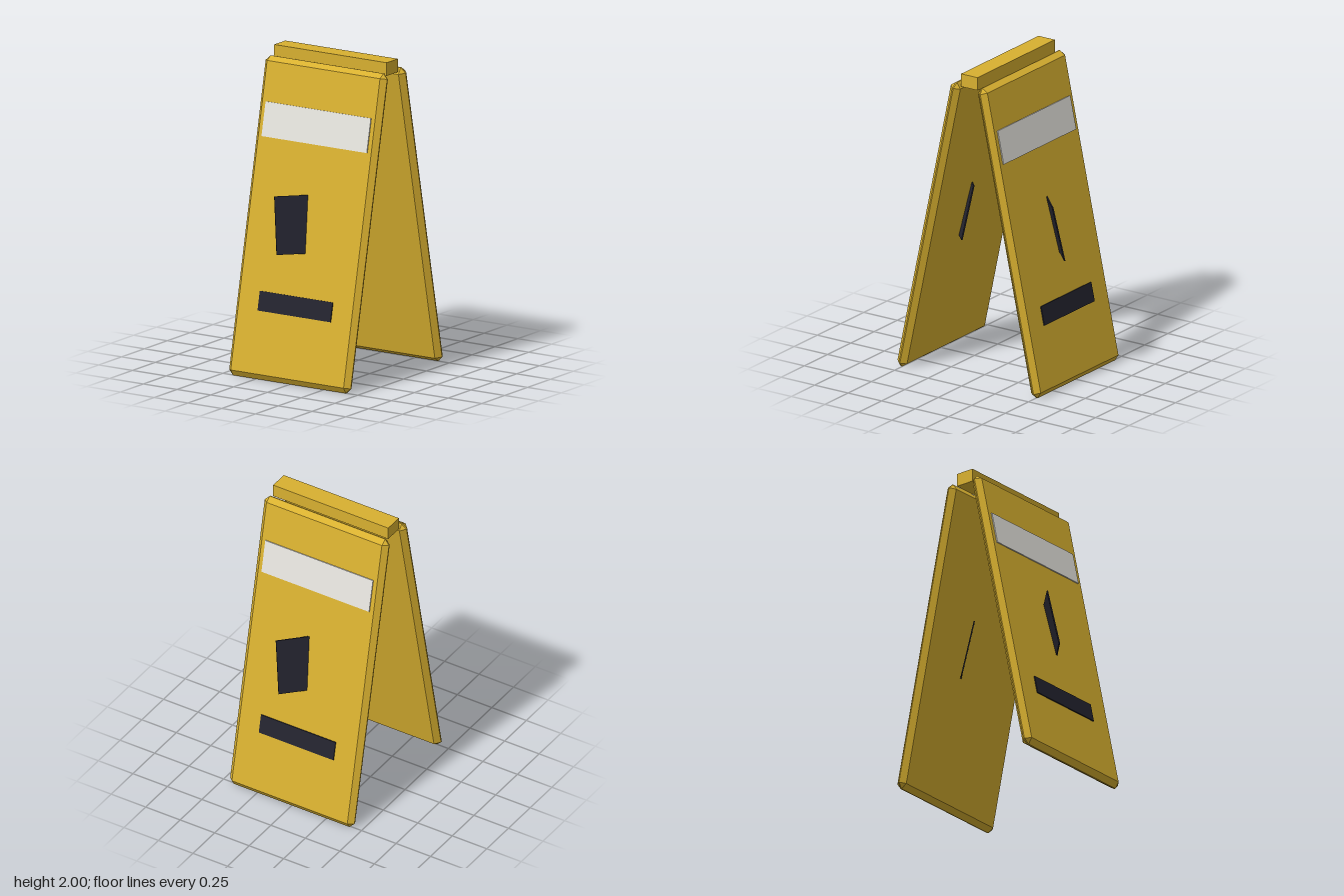
import * as THREE from 'three';
import { ConvexGeometry } from 'three/addons/geometries/ConvexGeometry.js';

const TILT = -THREE.MathUtils.degToRad(12);
const HALF = { x: 0.45, y: 0.99, z: 0.036 }; // half sizes of one leaf
const BEVEL = 0.032;

function material(name, color) {
  const m = new THREE.MeshStandardMaterial({ color });
  m.name = name;
  return m;
}

// Box with every edge cut to a single flat bevel
function bevelledBox({ x, y, z }, b) {
  const points = [];
  for (const sx of [-1, 1]) for (const sy of [-1, 1]) for (const sz of [-1, 1]) {
    points.push(
      new THREE.Vector3(sx * x, sy * (y - b), sz * (z - b)),
      new THREE.Vector3(sx * (x - b), sy * y, sz * (z - b)),
      new THREE.Vector3(sx * (x - b), sy * (y - b), sz * z)
    );
  }
  return new ConvexGeometry(points);
}

export function createModel() {
  const yellow = material('yellow plastic', 0xd8b030);
  const white = material('white label', 0xe6e4de);
  const black = material('black print', 0x24242f);

  const model = new THREE.Group();
  model.name = 'floorSign';

  const add = (parent, name, geometry, mat, x, y, z) => {
    const mesh = new THREE.Mesh(geometry, mat);
    mesh.name = name;
    mesh.position.set(x, y, z);
    parent.add(mesh);
    return mesh;
  };

  // Hinge bar across the top
  add(model, 'hingeBar', new THREE.BoxGeometry(0.834, 0.083, 0.122), yellow, 0, 1.9585, 0);

  // Two identical sides, the back one turned half a revolution
  const leafGeometry = bevelledBox(HALF, BEVEL);
  ['front', 'back'].forEach((side, i) => {
    const half = new THREE.Group();
    half.name = side + 'Side';
    half.rotation.y = i * Math.PI;
    model.add(half);

    // Leaning leaf with its flat markings
    const leaf = new THREE.Group();
    leaf.name = side + 'Leaf';
    leaf.position.set(0, 0.97, 0.3);
    leaf.rotation.x = TILT;
    half.add(leaf);
    add(leaf, side + 'Panel', leafGeometry, yellow, 0, 0, 0);
    add(leaf, side + 'Label', new THREE.BoxGeometry(0.78, 0.215, 0.008), white, 0, 0.601, HALF.z + 0.003);
    add(leaf, side + 'Bar', new THREE.BoxGeometry(0.54, 0.122, 0.008), black, 0, -0.509, HALF.z + 0.003);

    // Thin plate cutting through the leaf at an angle
    const plate = add(half, side + 'Plate', new THREE.BoxGeometry(0.37, 0.36, 0.008), black, 0, 0.978, 0.339);
    plate.rotation.set(TILT, Math.PI / 4, 0, 'YXZ');
  });

  return model;
}
